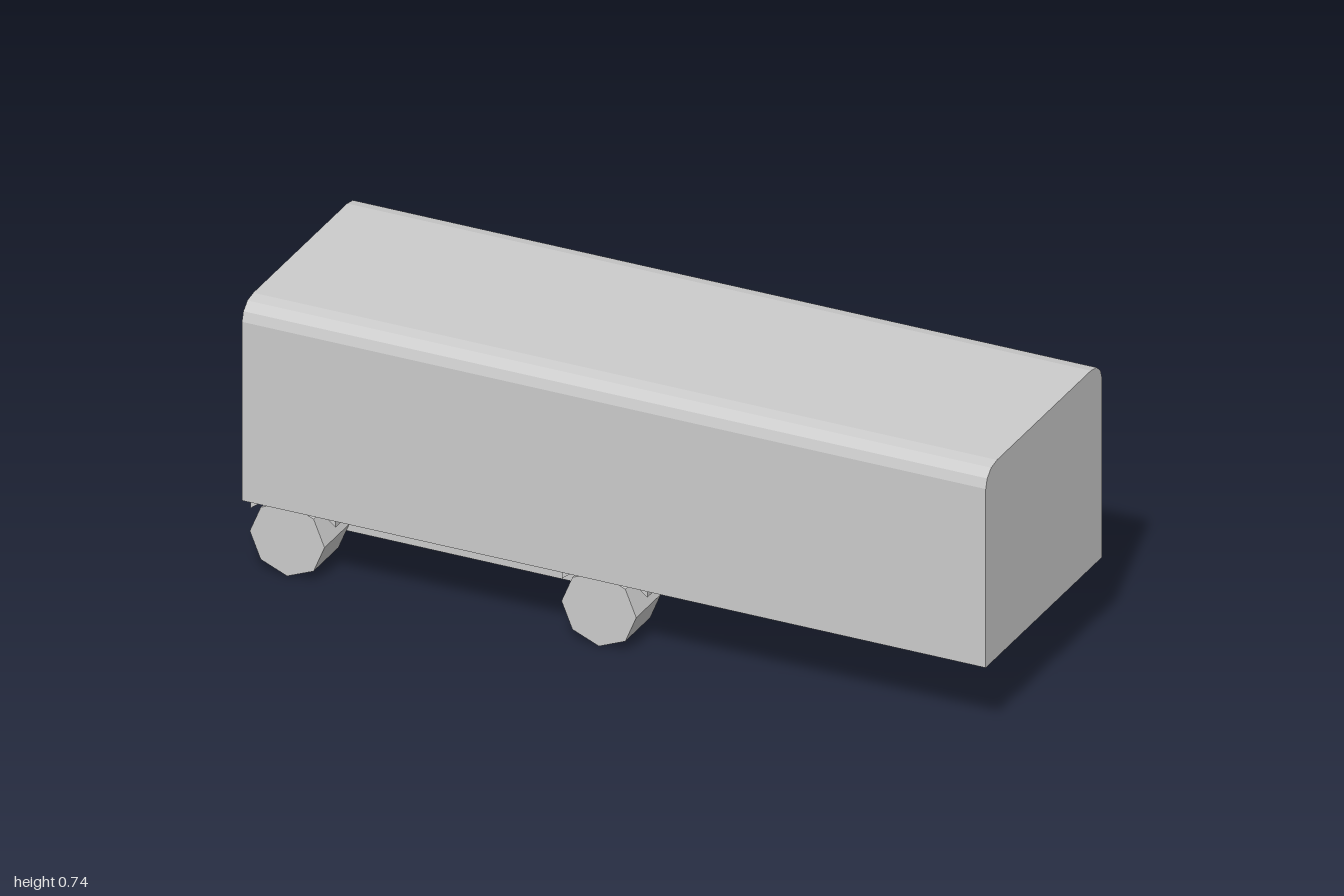
import * as THREE from 'three';

const material = new THREE.MeshStandardMaterial({ color: 0xcccccc, flatShading: true });

// Extrudes an x/y outline along z, from z0 to z1
function extrude(points, z0, z1) {
  const shape = new THREE.Shape(points.map(([x, y]) => new THREE.Vector2(x, y)));
  const geometry = new THREE.ExtrudeGeometry(shape, { depth: z1 - z0, bevelEnabled: false });
  return geometry.translate(0, 0, z0);
}

export function createModel() {
  const model = new THREE.Group();
  const add = (name, geometry, x = 0, y = 0, z = 0) => {
    const mesh = new THREE.Mesh(geometry, material);
    mesh.name = name;
    mesh.position.set(x, y, z);
    model.add(mesh);
  };

  // Cargo body with faceted upper edges, running along x
  const half = [[0.32, 0.2], [0.32, 0.685], [0.312, 0.71], [0.29, 0.729], [0.258, 0.735]];
  const mirrored = half.map(([z, y]) => [-z, y]).reverse();
  const body = extrude([...half, ...mirrored], -0.99, 1).rotateY(Math.PI / 2);
  // after the turn the extrusion runs along +x
  add('cargoBody', body);

  // Chassis slab between the wheels
  add('chassis', new THREE.BoxGeometry(0.94, 0.083, 0.29), -0.472, 0.1225, 0);

  // Eight-sided wheels, each with a bent mudguard
  const wheel = new THREE.CylinderGeometry(0.1, 0.1, 0.137, 8).rotateX(Math.PI / 2);
  const guard = [
    [-0.114, 0.143], [-0.114, 0.167], [-0.07, 0.203], [0.07, 0.203], [0.114, 0.167],
    [0.114, 0.143], [0.057, 0.187], [-0.057, 0.187],
  ];
  const mudguard = extrude(guard, -0.0535, 0.0535);
  for (const [end, x] of [['rear', -0.888], ['front', -0.054]]) {
    for (const [side, s] of [['Left', 1], ['Right', -1]]) {
      add(`${end}${side}Wheel`, wheel, x, 0.1, s * 0.2125);
      add(`${end}${side}Mudguard`, mudguard, x, 0, s * 0.195);
    }
  }
  return model;
}
